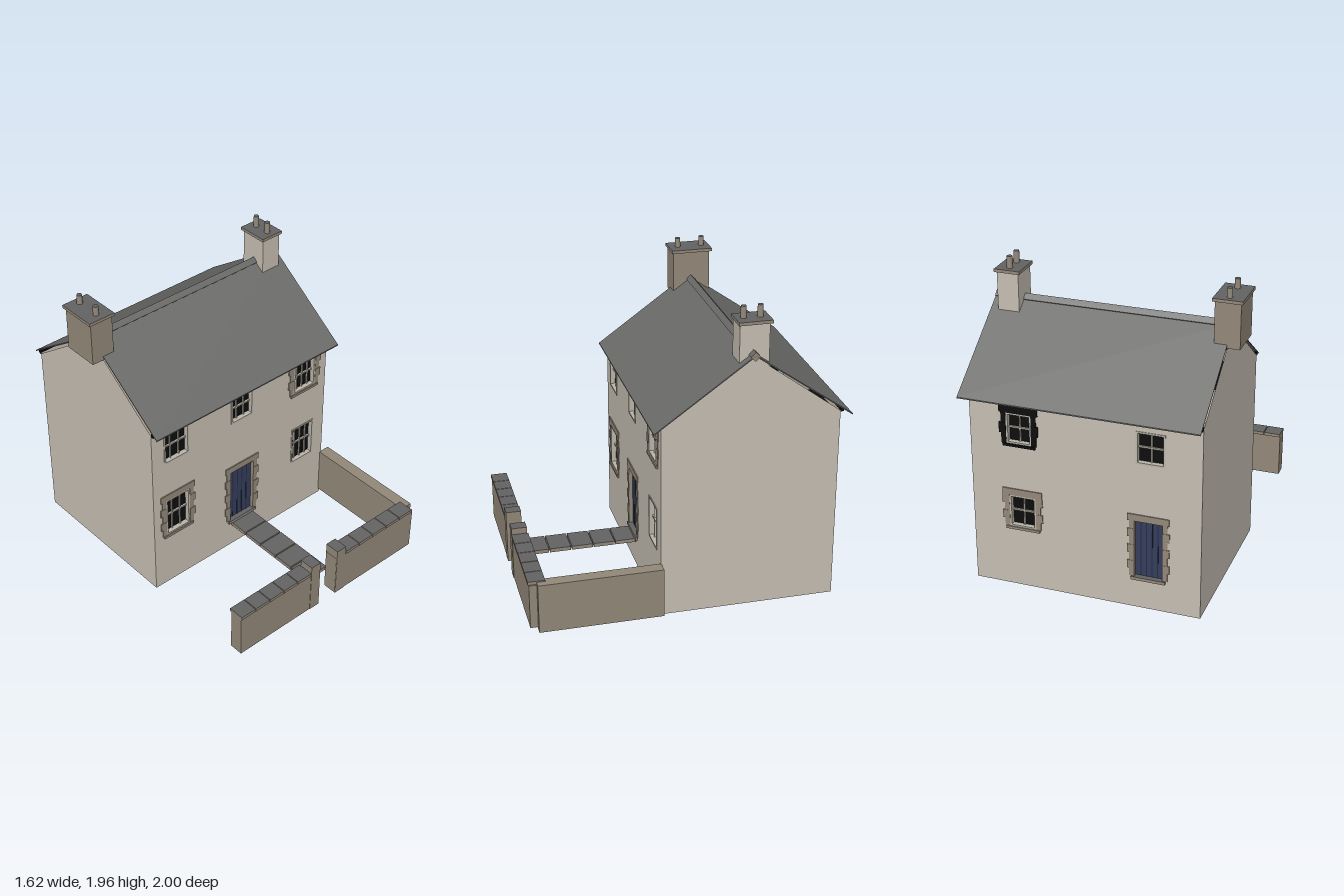
import * as THREE from 'three';

const mat = (name, color, side = THREE.FrontSide) => {
  const m = new THREE.MeshStandardMaterial({ color, side });
  m.name = name;
  return m;
};

export function createModel() {
  const render = mat('render', 0xc6beb2, THREE.DoubleSide);
  const stone = mat('stone', 0x938879);
  const slate = mat('slate', 0x6a6a69, THREE.DoubleSide);
  const slab = mat('slab', 0x636363);
  const glass = mat('glass', 0x0d0d0d);
  const frameMat = mat('window frame', 0xbab5a9);
  const doorMat = mat('door blue', 0x353d5c);
  const seamMat = mat('door seam', 0x232a45);

  const house = new THREE.Group();
  house.name = 'cottage';

  const add = (parent, name, geo, material, x = 0, y = 0, z = 0) => {
    const m = new THREE.Mesh(geo, material);
    m.name = name;
    m.position.set(x, y, z);
    parent.add(m);
    return m;
  };
  // box given by its limits on each axis
  const box = (parent, name, material, x0, x1, y0, y1, z0, z1) =>
    add(parent, name, new THREE.BoxGeometry(x1 - x0, y1 - y0, z1 - z0), material,
      (x0 + x1) / 2, (y0 + y1) / 2, (z0 + z1) / 2);
  // stone block with a grey upper face
  const capped = [stone, stone, slab, stone, stone, stone];

  const rectPath = (x0, x1, y0, y1) => new THREE.Path([
    new THREE.Vector2(x0, y0), new THREE.Vector2(x0, y1),
    new THREE.Vector2(x1, y1), new THREE.Vector2(x1, y0)]);
  const rectShape = (x0, x1, y0, y1) => new THREE.Shape([
    new THREE.Vector2(x0, y0), new THREE.Vector2(x1, y0),
    new THREE.Vector2(x1, y1), new THREE.Vector2(x0, y1)]);

  // lintel and alternating long and short side stones, set through the wall
  function surround(g, o, material) {
    const { x0, x1, y0, y1 } = o;
    box(g, 'lintel', material, x0 - 0.043, x1 + 0.043, y1, y1 + 0.045, -0.06, 0.007);
    const n = Math.round((y1 - y0) / 0.058), h = (y1 - y0) / n;
    for (let i = 0; i < n; i++) {
      const w = i % 2 ? 0.045 : 0.032, a = y0 + i * h;
      const d = i % 2 ? 0.007 : 0.005;
      box(g, 'sideStone', material, x0 - w, x0, a, a + h, -0.06, d);
      box(g, 'sideStone', material, x1, x1 + w, a, a + h, -0.06, d);
    }
  }

  function windowUnit(parent, o) {
    const g = new THREE.Group();
    g.name = 'window';
    parent.add(g);
    const { x0, x1, y0, y1 } = o;
    const t = 0.011;
    const ring = rectShape(x0, x1, y0, y1);
    ring.holes.push(rectPath(x0 + t, x1 - t, y0 + t, y1 - t));
    add(g, 'windowFrame', new THREE.ExtrudeGeometry(ring, { depth: 0.042, bevelEnabled: false }),
      frameMat, 0, 0, -0.038);
    box(g, 'glass', glass, x0 + t, x1 - t, y0 + t, y1 - t, -0.036, -0.028);
    const cols = o.cols || 3;
    for (let i = 1; i < cols; i++) {
      const x = x0 + (x1 - x0) * i / cols;
      box(g, 'glazingBar', frameMat, x - 0.004, x + 0.004, y0 + t, y1 - t, -0.028, -0.018);
    }
    const ym = (y0 + y1) / 2;
    box(g, 'crossBar', frameMat, x0 + t, x1 - t, ym - 0.005, ym + 0.005, -0.028, -0.016);
    if (o.edge) {
      surround(g, o, o.edge);
      box(g, 'sill', o.edge, x0 - 0.024, x1 + 0.024, y0 - 0.017, y0, -0.05, 0.012);
    }
  }

  function doorUnit(parent, o) {
    const g = new THREE.Group();
    g.name = 'door';
    parent.add(g);
    const { x0, x1, y0, y1 } = o;
    box(g, 'doorPanel', doorMat, x0, x1, y0, y1, -0.04, -0.02);
    for (let i = 1; i < 5; i++) {
      const x = x0 + (x1 - x0) * i / 5;
      box(g, 'plankSeam', seamMat, x - 0.003, x + 0.003, y0, y1, -0.02, -0.018);
    }
    surround(g, o, stone);
    box(g, 'threshold', capped, x0 - 0.02, x1 + 0.02, y0 - 0.02, y0, -0.05, 0.015);
  }

  // one long wall, with an opening cut for every window and door
  function facade(name, x0, x1, windows, doors) {
    const g = new THREE.Group();
    g.name = name;
    const s = rectShape(x0, x1, 0, 1.265);
    for (const o of [...windows, ...doors]) s.holes.push(rectPath(o.x0, o.x1, o.y0, o.y1));
    add(g, 'wall', new THREE.ShapeGeometry(s), render);
    windows.forEach(o => windowUnit(g, o));
    doors.forEach(o => doorUnit(g, o));
    box(g, 'gutter', glass, x0, x1, 1.253, 1.276, 0, 0.022);
    house.add(g);
    return g;
  }

  const front = facade('frontWall', -0.72, 0.735, [
    { x0: -0.625, x1: -0.43, y0: 0.985, y1: 1.215 },
    { x0: -0.083, x1: 0.097, y0: 1.015, y1: 1.215 },
    { x0: 0.45, x1: 0.637, y0: 0.985, y1: 1.215, cols: 4, edge: stone },
    { x0: -0.622, x1: -0.432, y0: 0.405, y1: 0.69, edge: stone },
    { x0: 0.448, x1: 0.642, y0: 0.405, y1: 0.69, cols: 4 },
  ], [{ x0: -0.088, x1: 0.107, y0: 0.215, y1: 0.622 }]);
  front.position.z = 0.175;

  // the back wall is turned round, so its x runs the other way
  const back = facade('backWall', -0.735, 0.72, [
    { x0: -0.5, x1: -0.34, y0: 0.975, y1: 1.175, cols: 2, edge: glass },
    { x0: 0.315, x1: 0.495, y0: 0.975, y1: 1.185, cols: 2 },
    { x0: -0.495, x1: -0.325, y0: 0.41, y1: 0.625, cols: 2, edge: stone },
  ], [{ x0: 0.305, x1: 0.48, y0: 0.215, y1: 0.595 }]);
  back.position.z = -0.94;
  back.rotation.y = Math.PI;

  // gable ends
  const gable = new THREE.ShapeGeometry(new THREE.Shape(
    [[-0.175, 0], [0.94, 0], [0.94, 1.26], [0.38, 1.67], [-0.175, 1.26]]
      .map(p => new THREE.Vector2(...p))));
  for (const [x, name] of [[-0.72, 'leftGable'], [0.735, 'rightGable']]) {
    add(house, name, gable, render, x).rotation.y = Math.PI / 2;
  }

  // thin pitched roof and its ridge
  const pitch = new THREE.Shape([[-0.23, 1.255], [-0.23, 1.247], [0.38, 1.682],
    [1.0, 1.247], [1.0, 1.255], [0.38, 1.69]].map(p => new THREE.Vector2(...p)));
  add(house, 'roof', new THREE.ExtrudeGeometry(pitch, { depth: 1.505, bevelEnabled: false }),
    slate, -0.72).rotation.y = Math.PI / 2;
  const ridge = add(house, 'ridge', new THREE.BoxGeometry(1.505, 0.042, 0.042),
    [stone, stone, slate, slate, slate, slate], 0.0325, 1.68, -0.38);
  ridge.rotation.x = Math.PI / 4;

  // chimneys: stack, cap slab and two pots
  function chimney(name, material, c) {
    const g = new THREE.Group();
    g.name = name;
    house.add(g);
    const [x0, x1, z0, z1] = c.stack;
    box(g, 'stack', material, x0, x1, 1.58, 1.865, z0, z1);
    box(g, 'cap', capped, x0 - 0.013, x1 + 0.013, 1.865, 1.885, z0 - 0.015, z1 + 0.01);
    for (const z of c.pots) {
      const h = c.top - 1.885;
      add(g, 'pot', new THREE.CylinderGeometry(0.017, 0.019, h, 12),
        [stone, slab, stone], (x0 + x1) / 2, 1.885 + h / 2, z);
    }
  }
  chimney('leftChimney', stone, { stack: [-0.798, -0.64, -0.505, -0.262], pots: [-0.31, -0.47], top: 1.945 });
  chimney('rightChimney', render, { stack: [0.597, 0.735, -0.478, -0.295], pots: [-0.335, -0.438], top: 1.96 });

  // path of slabs to the gate
  for (let i = 0; i < 5; i++) {
    const z = 0.178 + i * 0.144;
    box(house, 'pathSlab', capped, -0.08, 0.1, 0.17, 0.195, z, z + 0.137);
  }

  // front garden wall in two halves, with coping stones and gate posts
  function gardenWall(name, x0, x1, gate) {
    const g = new THREE.Group();
    g.name = name;
    house.add(g);
    box(g, 'wallBody', stone, x0, x1, 0.05, 0.342, 0.905, 0.995);
    const post = gate < 0 ? [gate - 0.075, gate] : [gate, gate + 0.075];
    box(g, 'gatePost', capped, post[0], post[1], 0.05, 0.405, 0.9, 0.998);
    const a = gate < 0 ? x0 : post[1], b = gate < 0 ? post[0] : x1 - 0.005;
    const w = (b - a) / 5;
    for (let i = 0; i < 5; i++) {
      box(g, 'coping', capped, a + i * w, a + (i + 1) * w - 0.005, 0.342, 0.363, 0.893, 1);
    }
  }
  gardenWall('leftGardenWall', -0.72, -0.065, -0.065);
  gardenWall('rightGardenWall', 0.08, 0.77, 0.082);
  box(house, 'sideGardenWall', stone, 0.725, 0.805, 0.03, 0.355, 0.17, 0.947);

  return house;
}
